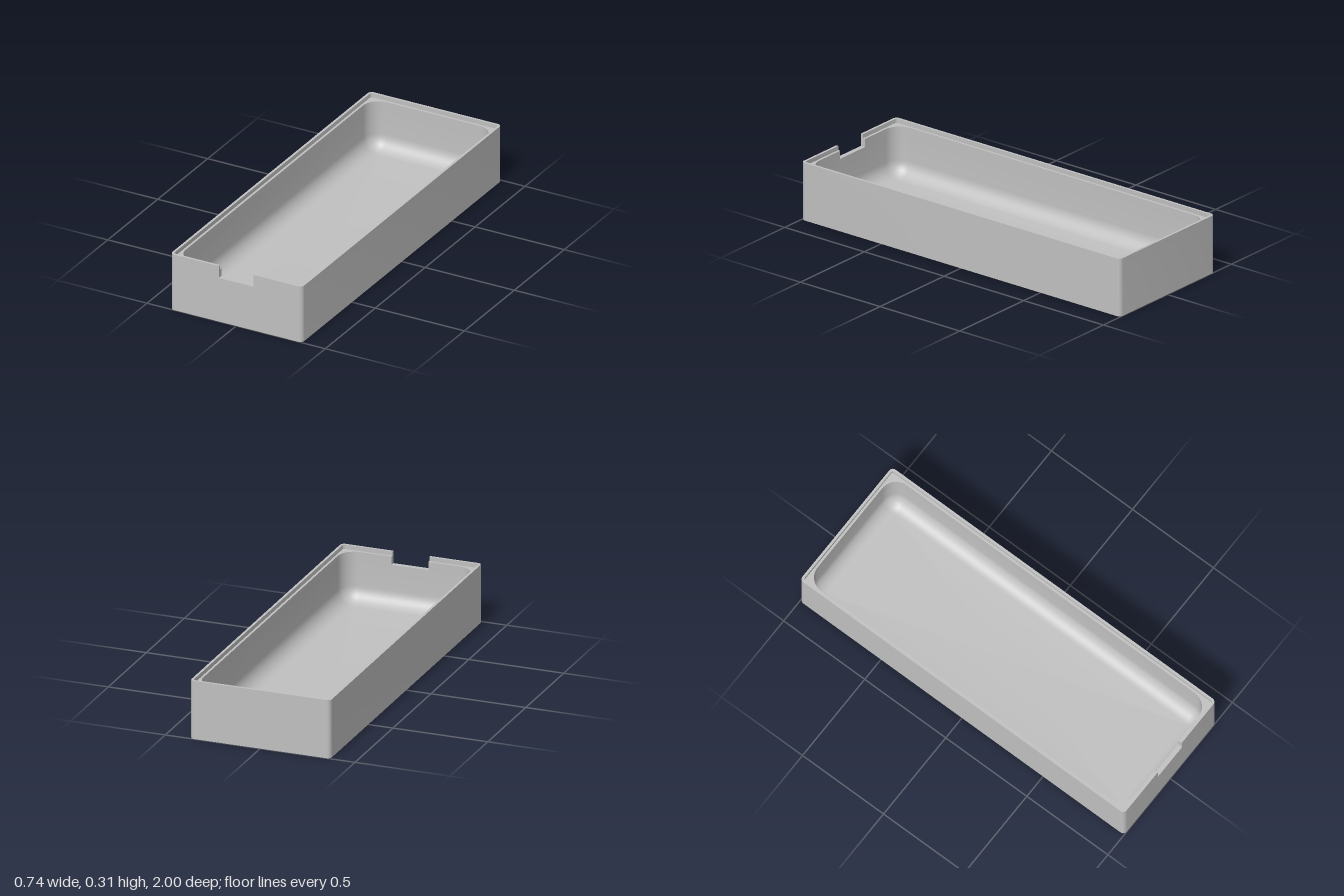
import * as THREE from 'three';
import { toCreasedNormals } from 'three/addons/utils/BufferGeometryUtils.js';

const HALF_W = 0.37, HALF_L = 1, HEIGHT = 0.305;
const LEDGE_Y = 0.283, NOTCH_Y = 0.24, NOTCH_X = 0.097;
const LIP = 0.013, WALL = 0.025, FLOOR_Y = 0.025;
const CAVITY_R = 0.085, FILLET = 0.08;
const STEPS = 10; // segments per rounded corner

// Rounded rectangle at height y; two extra points on the front edge mark the notch
function ring(inset, r, y) {
  const w = HALF_W - inset, l = HALF_L - inset, pts = [];
  [[1, 1], [-1, 1], [-1, -1], [1, -1]].forEach(([sx, sz], q) => {
    for (let i = 0; i <= STEPS; i++) {
      const a = (q + i / STEPS) * Math.PI / 2;
      pts.push(new THREE.Vector3(sx * (w - r) + r * Math.cos(a), y, sz * (l - r) + r * Math.sin(a)));
    }
    if (q === 0) pts.push(new THREE.Vector3(NOTCH_X, y, l), new THREE.Vector3(-NOTCH_X, y, l));
  });
  return pts;
}

export function createModel() {
  const grey = new THREE.MeshStandardMaterial({ color: 0xc0c0c0 });
  grey.name = 'plain grey';

  // Rings run up the outside, over the stepped rim and down into the cavity
  const rings = [
    ring(0, 0.022, 0),
    ring(0, 0.022, NOTCH_Y),        // 1: outer notch edge
    ring(0, 0.022, HEIGHT),
    ring(LIP, 0.012, HEIGHT),
    ring(LIP, 0.012, LEDGE_Y),
    ring(WALL, CAVITY_R, LEDGE_Y),
    ring(WALL, CAVITY_R, NOTCH_Y),  // 6: inner notch edge
  ];
  for (let i = 0; i <= STEPS; i++) { // rounded join of wall and floor
    const a = i / STEPS * Math.PI / 2, d = FILLET * (1 - Math.cos(a));
    rings.push(ring(WALL + d, CAVITY_R - d, FLOOR_Y + FILLET * (1 - Math.sin(a))));
  }

  const pos = [];
  const tri = (...p) => p.forEach((v) => pos.push(v.x, v.y, v.z));
  const quad = (a, b, c, d) => { tri(a, d, c); tri(a, c, b); };
  const n = rings[0].length, cut = STEPS + 1;

  // Walls, rim and fillet, leaving out the notch
  for (let j = 0; j < rings.length - 1; j++) {
    for (let k = 0; k < n; k++) {
      if (k === cut && j >= 1 && j < 6) continue;
      const m = (k + 1) % n;
      quad(rings[j][k], rings[j][m], rings[j + 1][m], rings[j + 1][k]);
    }
  }

  // Notch sill and its two stepped cheeks
  quad(rings[1][cut], rings[1][cut + 1], rings[6][cut + 1], rings[6][cut]);
  const p = rings.slice(1, 7).map((r) => r[cut]);
  const q = rings.slice(1, 7).map((r) => r[cut + 1]);
  const lowP = p[0].clone().setZ(p[3].z), lowQ = q[0].clone().setZ(q[3].z);
  quad(p[0], lowP, p[2], p[1]);
  quad(lowP, p[5], p[4], p[3]);
  quad(lowQ, q[0], q[1], q[2]);
  quad(q[5], lowQ, q[3], q[4]);

  // Underside and floor
  const last = rings[rings.length - 1];
  const under = new THREE.Vector3(0, 0, 0), floor = new THREE.Vector3(0, FLOOR_Y, 0);
  for (let k = 0; k < n; k++) {
    const m = (k + 1) % n;
    tri(under, rings[0][k], rings[0][m]);
    tri(last[k], floor, last[m]);
  }

  const geo = new THREE.BufferGeometry();
  geo.setAttribute('position', new THREE.Float32BufferAttribute(pos, 3));
  const tray = new THREE.Mesh(toCreasedNormals(geo, 0.5), grey);
  tray.name = 'tray';

  const group = new THREE.Group();
  group.name = 'openBox';
  group.add(tray);
  return group;
}
